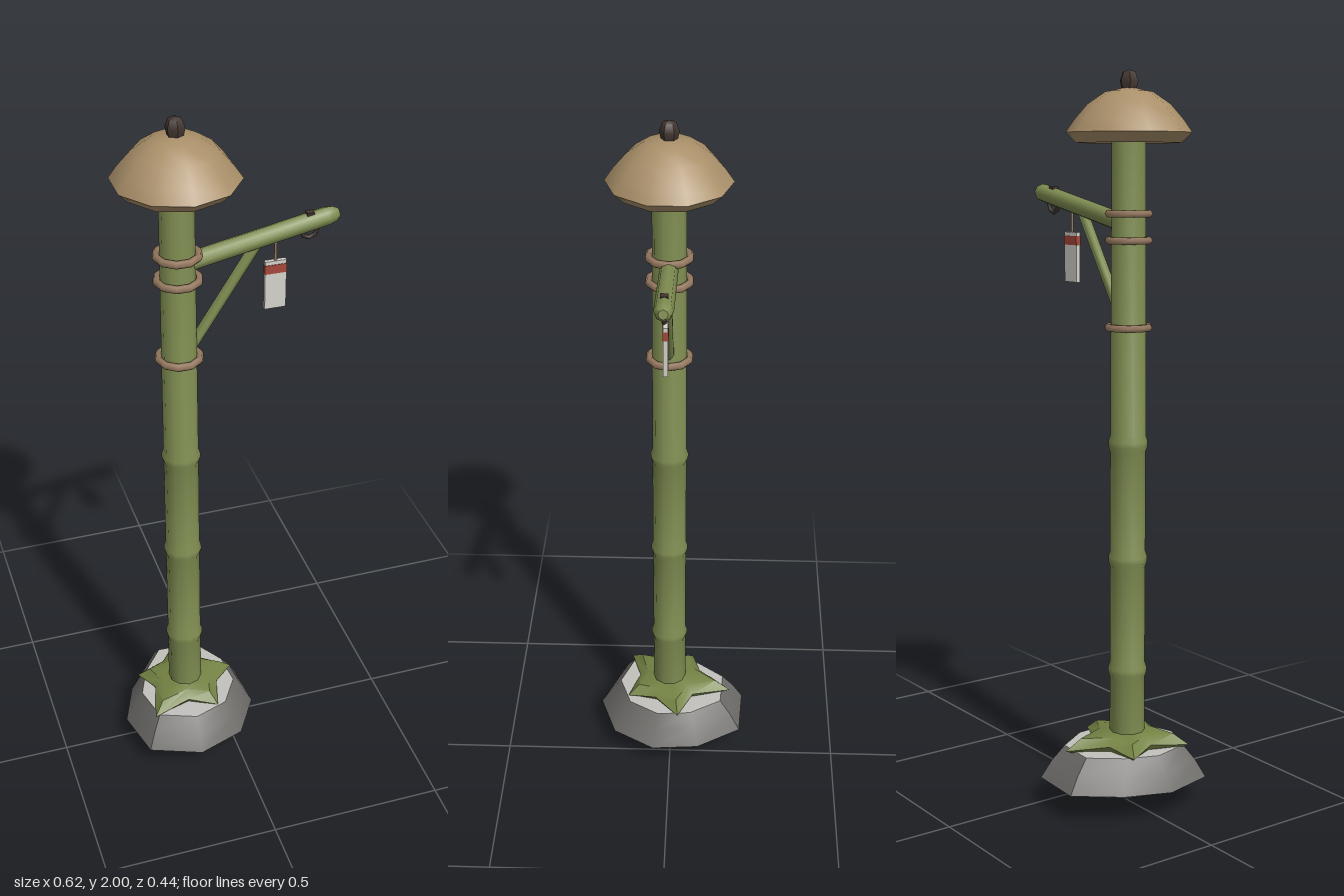
import * as THREE from 'three';
import { toCreasedNormals } from 'three/addons/utils/BufferGeometryUtils.js';

const mat = (name, color) => new THREE.MeshStandardMaterial({ name, color });
const PX = -0.122, PZ = 0.005; // post axis

// Closed skin over rings of equal length, ordered bottom to top
function loft(rings, crease) {
  const n = rings[0].length, idx = [];
  for (let i = 0; i < rings.length - 1; i++) {
    for (let j = 0; j < n; j++) {
      const k = (j + 1) % n, a = i * n + j, b = i * n + k;
      idx.push(a, a + n, b, b, a + n, b + n);
    }
  }
  const g = new THREE.BufferGeometry();
  g.setAttribute('position', new THREE.Float32BufferAttribute(rings.flat(2), 3));
  g.setIndex(idx);
  return toCreasedNormals(g, crease);
}

// Turned shape around the post axis
function turned(profile, sides, crease = 0.7) {
  const g = new THREE.LatheGeometry(profile.map(p => new THREE.Vector2(...p)), sides);
  return toCreasedNormals(g, crease).translate(PX, 0, PZ);
}

// Round rod between two points, with a rounded far end
function rod(a, b, r, sides, tip = 0) {
  const from = new THREE.Vector3(...a), dir = new THREE.Vector3(...b).sub(from), len = dir.length();
  const pts = [[0, 0], [r, 0], [r, len - tip]];
  if (tip) pts.push([r * 0.85, len - tip * 0.4], [r * 0.5, len]);
  else pts.push([r, len]);
  pts.push([0, len]);
  const g = toCreasedNormals(new THREE.LatheGeometry(pts.map(p => new THREE.Vector2(...p)), sides), 0.9);
  g.applyQuaternion(new THREE.Quaternion().setFromUnitVectors(new THREE.Vector3(0, 1, 0), dir.normalize()));
  return g.translate(...a);
}

export function createModel() {
  const group = new THREE.Group();
  const bamboo = mat('bamboo green', 0x808e52);
  const moss = mat('moss green', 0x748344);
  const straw = mat('straw tan', 0xa98f69);
  const rope = mat('rope brown', 0x967960);
  const dark = mat('dark wood', 0x40342f);
  const stone = mat('stone grey', 0x6f6e6b);
  const pale = mat('pale stone', 0xc2c1bc);
  const paper = mat('paper white', 0xd6d3cc);
  const red = mat('red band', 0xa5483a);
  const add = (name, geometry, material) => {
    const m = new THREE.Mesh(geometry, material);
    m.name = name;
    group.add(m);
    return m;
  };

  // Irregular boulder with a pale flat top
  const rim = [[-0.173, -0.222], [-0.014, -0.213], [0.066, -0.086], [0.077, 0.05], [0.004, 0.17],
    [-0.133, 0.218], [-0.277, 0.162], [-0.312, 0.016], [-0.263, -0.108]];
  const ring = (s, y) => rim.map(([x, z]) => [PX + (x - PX) * s, y, z * s]);
  add('baseStone', loft([ring(0, 0), ring(1, 0.078), ring(0.87, 0.127), ring(0.72, 0.168)], 0.62), stone);
  add('stoneTop', loft([ring(0.72, 0.168), ring(0, 0.172)], 0.6), pale);

  // Five-pointed mossy collar with drooping tips
  const tips = [0.185, 0.155, 0.145, 0.178, 0.145];
  const star = (s, y, droop) => Array.from({ length: 10 }, (_, i) => {
    const a = -1.41 + i * Math.PI / 5, tip = i % 2 === 0;
    const r = (tip ? tips[i / 2] : 0.098) * s;
    return [PX + r * Math.cos(a), y - (tip ? droop : 0), r * Math.sin(a)];
  });
  add('mossCollar', loft([star(0, 0.165, 0), star(0.9, 0.168, 0.004), star(1, 0.185, 0.014),
    star(0.75, 0.204, 0.003), star(0, 0.208, 0)], 0.7), moss);

  // Post with swollen joints
  const profile = [[0, 0.165], [0.049, 0.165]];
  for (const y of [0.38, 0.695, 1.015]) {
    profile.push([0.048, y - 0.022], [0.053, y - 0.007], [0.053, y + 0.007], [0.048, y + 0.022]);
  }
  profile.push([0.045, 1.85], [0, 1.85]);
  add('post', turned(profile, 10, 0.9), bamboo);

  // Rope bindings
  for (const y of [1.33, 1.56, 1.63]) {
    const g = new THREE.TorusGeometry(0.056, 0.0105, 6, 10).rotateX(Math.PI / 2);
    add('ropeBinding', g.translate(PX, y, PZ), rope);
  }

  // Straw cap and finial
  add('cap', turned([[0, 1.835], [0.125, 1.825], [0.138, 1.813], [0.166, 1.84], [0.143, 1.873],
    [0.108, 1.913], [0.062, 1.944], [0, 1.957]], 10), straw);
  add('finial', turned([[0, 1.945], [0.021, 1.95], [0.026, 1.972], [0.018, 1.994], [0, 2]], 6, 0.9), dark);

  // Arm and diagonal brace
  add('arm', rod([-0.1, 1.604, PZ], [0.309, 1.684, PZ], 0.025, 8, 0.032), bamboo);
  add('brace', rod([-0.095, 1.345, PZ], [0.088, 1.627, PZ], 0.0145, 7), bamboo);

  // Hook ring near the arm tip, pinned through the top
  add('hookRing', new THREE.TorusGeometry(0.023, 0.006, 5, 8).translate(0.231, 1.647, PZ), dark);
  add('hookPin', new THREE.BoxGeometry(0.02, 0.045, 0.02).translate(0.231, 1.674, PZ), dark);

  // Hanging paper tag with a red band
  add('tagString', new THREE.CylinderGeometry(0.004, 0.004, 0.085, 6).translate(0.14, 1.608, PZ), rope);
  add('tag', new THREE.BoxGeometry(0.058, 0.138, 0.012).translate(0.14, 1.504, PZ), paper);
  add('tagBand', new THREE.BoxGeometry(0.06, 0.025, 0.015).translate(0.14, 1.55, PZ), red);

  return group;
}
